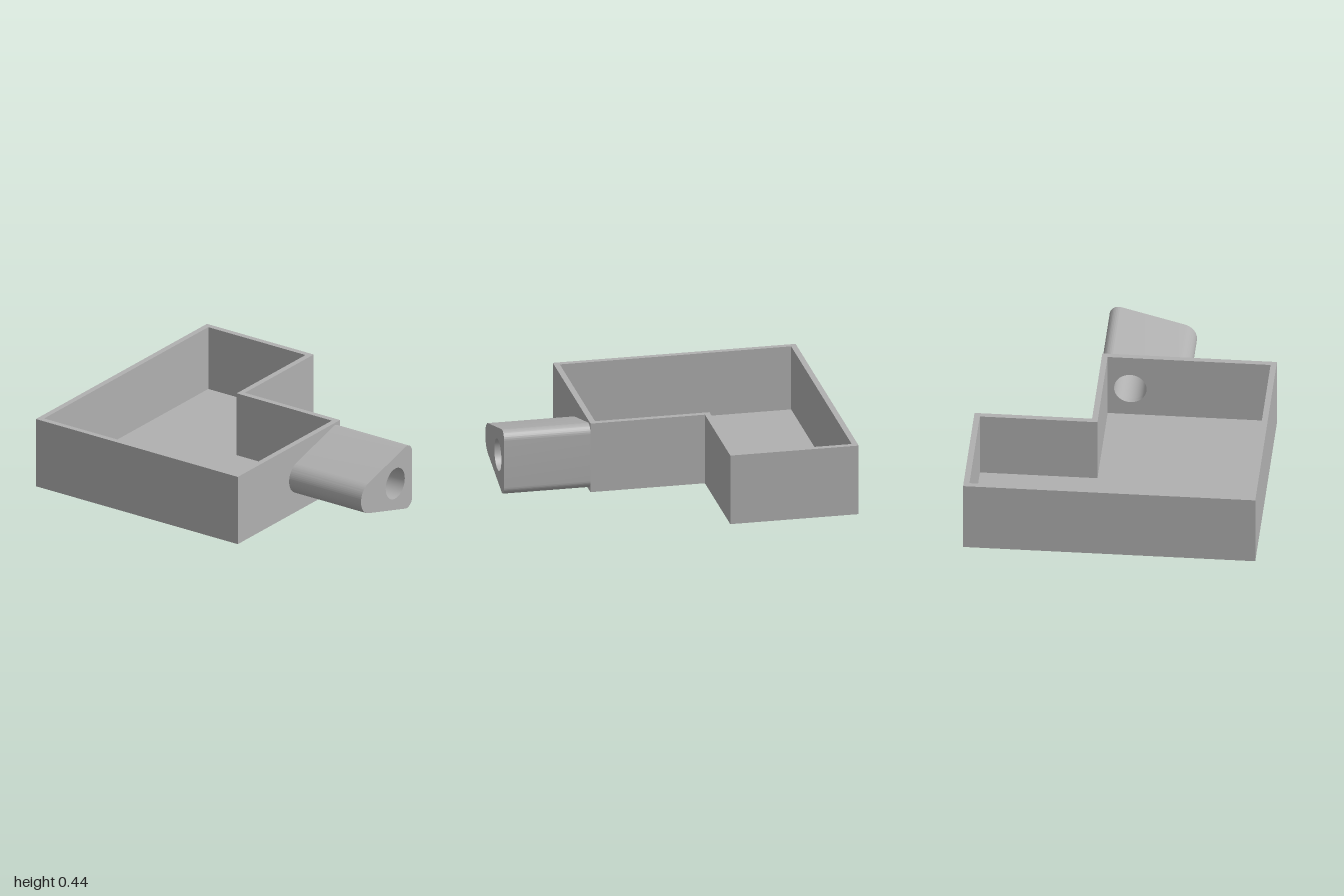
import * as THREE from 'three';
import { toCreasedNormals } from 'three/addons/utils/BufferGeometryUtils.js';

const HEIGHT = 0.435, WALL = 0.035, FRONT = 0.475, MID = HEIGHT / 2;

export function createModel() {
  const group = new THREE.Group();
  const grey = new THREE.MeshStandardMaterial({ color: 0xb0b0b0 });
  grey.name = 'grey';

  const extrude = (shape, depth) =>
    new THREE.ExtrudeGeometry(shape, { depth, bevelEnabled: false, curveSegments: 24 });
  const add = (name, geometry) => {
    const mesh = new THREE.Mesh(toCreasedNormals(geometry, 0.5), grey);
    mesh.name = name;
    group.add(mesh);
    return mesh;
  };
  // Extrudes an x/z outline upward from y0 to y1
  const slab = (points, y0, y1) => {
    const shape = new THREE.Shape(points.map(([x, z]) => new THREE.Vector2(x, -z)));
    return extrude(shape, y1 - y0).rotateX(-Math.PI / 2).translate(0, y0, 0);
  };
  const boreHole = (shape) => {
    shape.holes.push(new THREE.Path().absarc(0, MID, 0.097, 0, Math.PI * 2, true));
    return shape;
  };

  // L-shaped tray: floor, then the continuous wall around all but the front edge
  const seam = FRONT - WALL;
  const outer = [[-0.87, seam], [-0.87, -1], [0.87, -1], [0.87, -0.22], [0.17, -0.22], [0.17, seam]];
  const inner = [
    [0.17 - WALL, seam], [0.17 - WALL, -0.22 - WALL], [0.87 - WALL, -0.22 - WALL],
    [0.87 - WALL, -1 + WALL], [-0.87 + WALL, -1 + WALL], [-0.87 + WALL, seam],
  ];
  add('trayFloor', slab(outer, 0, WALL));
  add('trayWalls', slab([...outer, ...inner], WALL, HEIGHT));

  // Front wall, pierced by the spout's bore
  const panel = new THREE.Shape([[-0.87, 0], [0.17, 0], [0.17, HEIGHT], [-0.87, HEIGHT]]
    .map(([x, y]) => new THREE.Vector2(x, y)));
  add('frontWall', extrude(boreHole(panel), WALL).translate(0, 0, seam));

  // Spout: rounded triangular section with a round bore
  const tilt = 0.264, up = Math.PI / 2 + tilt, down = Math.PI * 1.5 - tilt;
  const section = new THREE.Shape();
  section.absarc(-0.248, MID + 0.002, 0.1, up, down, false);
  section.absarc(0.117, MID - 0.145, 0.055, down, Math.PI * 2, false);
  section.absarc(0.117, MID + 0.147, 0.055, 0, up, false);
  section.closePath();
  add('spout', extrude(boreHole(section), 1 - FRONT).translate(0, 0, FRONT));

  return group;
}
